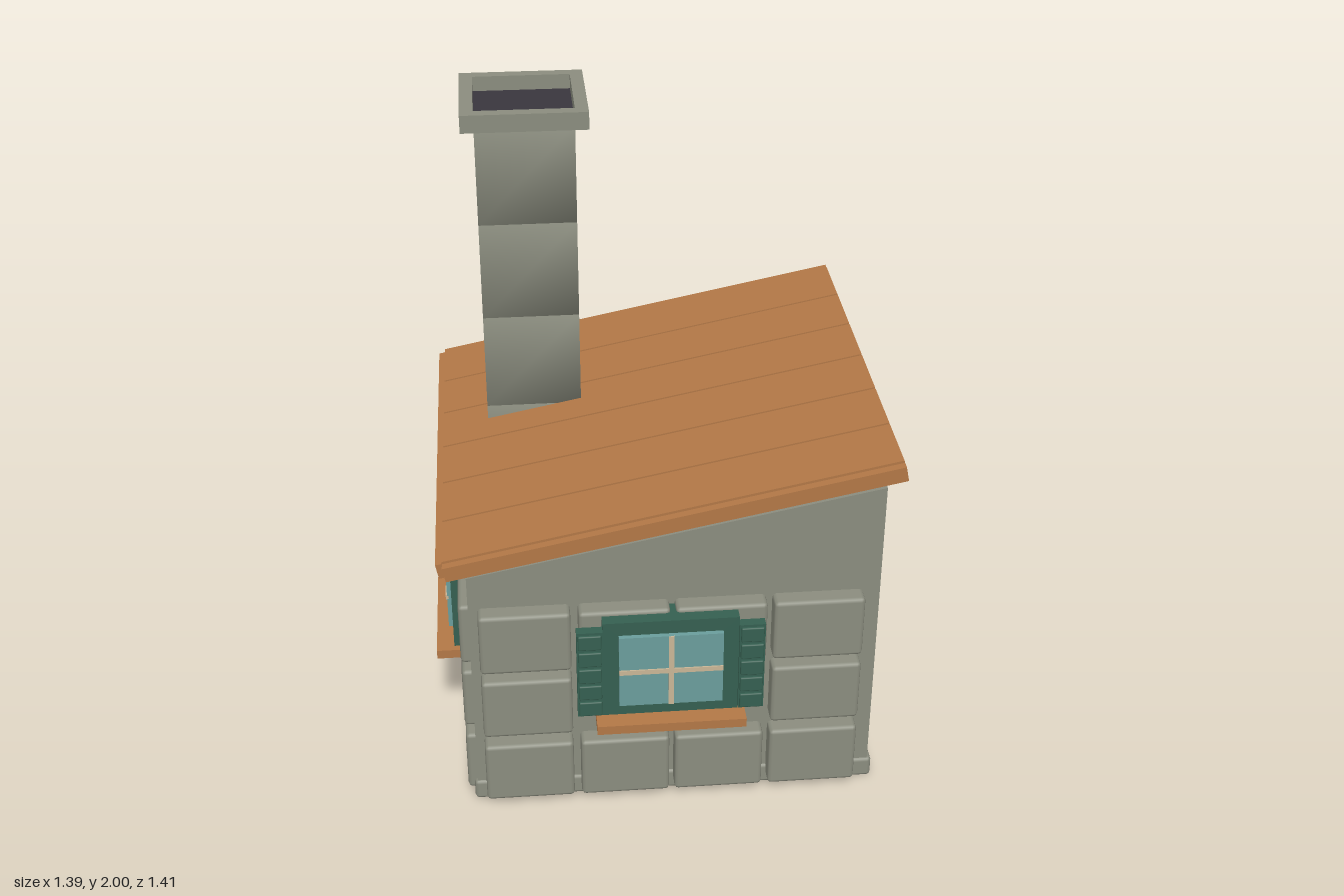
import * as THREE from 'three';
import { mergeVertices } from 'three/addons/utils/BufferGeometryUtils.js';
import { RoundedBoxGeometry } from 'three/addons/geometries/RoundedBoxGeometry.js';

const mat = (name, color) => new THREE.MeshStandardMaterial({ name, color });
const stone = mat('stone', 0x8a8c7e);
const wood = mat('wood', 0xb27746);
const green = mat('green paint', 0x355f50);
const glass = mat('glass', 0x6a9c9b);
const cream = mat('cream', 0xc9b595);
const soot = mat('soot', 0x39363d);

function add(parent, name, geometry, material) {
  const mesh = new THREE.Mesh(geometry, material);
  mesh.name = name;
  parent.add(mesh);
  return mesh;
}

// Box given by its min and max on each axis
function box(parent, name, material, [x0, x1], [y0, y1], [z0, z1], bevel = 0) {
  const s = [x1 - x0, y1 - y0, z1 - z0];
  const g = bevel ? new RoundedBoxGeometry(...s, 1, bevel) : new THREE.BoxGeometry(...s);
  g.translate((x0 + x1) / 2, (y0 + y1) / 2, (z0 + z1) / 2);
  return add(parent, name, g, material);
}

// Rectangular frame lying in the xy plane, from z = 0 to depth
function frameGeometry(w, h, holeW, holeH, depth) {
  const rect = (P, a, b) => new P([[-a, -b], [a, -b], [a, b], [-a, b]]
    .map(([x, y]) => new THREE.Vector2(x / 2, y / 2)));
  const shape = rect(THREE.Shape, w, h);
  shape.holes.push(rect(THREE.Path, holeW, holeH));
  return new THREE.ExtrudeGeometry(shape, { depth, bevelEnabled: false });
}

// Window centred on its frame; z = 0 is the front of the frame
function makeWindow(name, w, h, back, shutters) {
  const win = new THREE.Group();
  win.name = name;
  const gw = w - 0.095, gh = h - 0.09;
  const frame = add(win, 'windowFrame', frameGeometry(w, h, gw, gh, back), green);
  frame.position.z = -back;
  box(win, 'windowPane', glass, [-gw / 2, gw / 2], [-gh / 2, gh / 2], [-0.01, 0.015]);
  box(win, 'uprightBar', cream, [-0.008, 0.008], [-gh / 2, gh / 2], [0.01, 0.019]);
  box(win, 'crossBar', cream, [-gw / 2, gw / 2], [-0.008, 0.008], [0.01, 0.019]);
  box(win, 'sill', wood, [-w / 2 - 0.022, w / 2 + 0.022], [-h / 2 - 0.028, -h / 2 + 0.002], [-back, 0.055]);
  if (shutters) {
    for (const side of [-1, 1]) {
      const xs = [side * w / 2, side * (w / 2 + 0.077)].sort((a, b) => a - b);
      box(win, 'shutter', green, xs, [-0.16, 0.147], [-0.02, 0.01]);
      // Raised slats
      for (let i = 0; i < 5; i++) {
        const y = -0.155 + i * 0.061;
        box(win, 'shutterSlat', green, [xs[0] + 0.004, xs[1] - 0.004], [y, y + 0.05], [0, 0.018], 0.004);
      }
    }
  }
  return win;
}

export function createModel() {
  const model = new THREE.Group();
  model.name = 'cottage';

  // Walls with a sloping top
  const outline = new THREE.Shape([[-0.58, 0.01], [0.65, 0.01], [0.65, 1.08], [-0.58, 0.835]]
    .map(p => new THREE.Vector2(...p)));
  const walls = add(model, 'walls',
    new THREE.ExtrudeGeometry(outline, { depth: 1.095, bevelEnabled: false }), stone);
  walls.position.z = -0.54;
  box(model, 'plinth', stone, [-0.59, 0.663], [0, 0.07], [-0.548, 0.563], 0.012);

  // Stone blocks on the front and the right-hand wall
  const rows = [[0.033, 0.242], [0.28, 0.487], [0.52, 0.727]];
  const frontCols = [[-0.552, -0.28], [-0.257, 0.015], [0.032, 0.305], [0.325, 0.598]];
  const sideCols = [[-0.557, -0.2], [-0.182, 0.17], [0.19, 0.545]];
  rows.forEach((ys, r) => {
    frontCols.forEach((xs, c) => {
      if (r === 1 && (c === 1 || c === 2)) return;
      box(model, 'frontStone', stone, xs, ys, [0.54, 0.61], 0.012);
    });
    sideCols.forEach(zs => box(model, 'sideStone', stone, [-0.61, -0.55], ys, zs, 0.012));
  });

  // Windows
  const front = makeWindow('frontWindow', 0.405, 0.34, 0.085, true);
  front.position.set(0.013, 0.545, 0.648);
  const side = makeWindow('sideWindow', 0.39, 0.315, 0.05, false);
  side.position.set(-0.637, 0.545, 0.087);
  side.rotation.y = -Math.PI / 2;
  const rear = makeWindow('rearWindow', 0.39, 0.315, 0.022, false);
  rear.position.set(0.185, 0.588, -0.562);
  rear.rotation.y = Math.PI;
  model.add(front, side, rear);

  // Pitched roof; local y = 0 is the top of the planks
  const roof = new THREE.Group();
  roof.name = 'roof';
  roof.position.set(0.018, 1.065, -0.04);
  roof.rotation.z = 0.2;
  model.add(roof);
  const half = 0.676, pitch = 0.215;
  box(roof, 'roofDeck', wood, [-half, half], [-0.066, -0.028], [-0.645, 0.645]);
  for (let i = 0; i < 6; i++) {
    const z = (i - 3) * pitch;
    box(roof, 'roofPlank', wood, [-half, half], [-0.03, 0], [z + 0.004, z + pitch - 0.004]);
  }
  for (const s of [-1, 1]) {
    const zs = [s * 0.645, s * 0.67].sort((a, b) => a - b);
    box(roof, 'edgeBoard', wood, [-half, half], [-0.052, -0.005], zs);
  }
  box(roof, 'eaveBoard', wood, [-half - 0.02, -half], [-0.052, -0.004], [-0.645, 0.645]);

  // Chimney of softly shaded blocks
  const chimney = new THREE.Group();
  chimney.name = 'chimney';
  chimney.position.set(-0.35, 0, -0.305);
  model.add(chimney);
  let block = new THREE.BoxGeometry(0.3, 0.312, 0.295);
  block.deleteAttribute('normal');
  block.deleteAttribute('uv');
  block = mergeVertices(block);
  block.computeVertexNormals();
  for (let i = 0; i < 4; i++) {
    add(chimney, 'chimneyBlock', block, stone).position.y = 0.848 + i * 0.314;
  }
  box(chimney, 'chimneyCore', stone, [-0.145, 0.145], [0.7, 1.945], [-0.142, 0.142]);
  const cap = add(chimney, 'chimneyCap', frameGeometry(0.38, 0.37, 0.3, 0.295, 0.055), stone);
  cap.rotation.x = -Math.PI / 2;
  cap.position.y = 1.945;
  box(chimney, 'flueOpening', soot, [-0.15, 0.15], [1.947, 1.954], [-0.1475, 0.1475]);

  return model;
}
